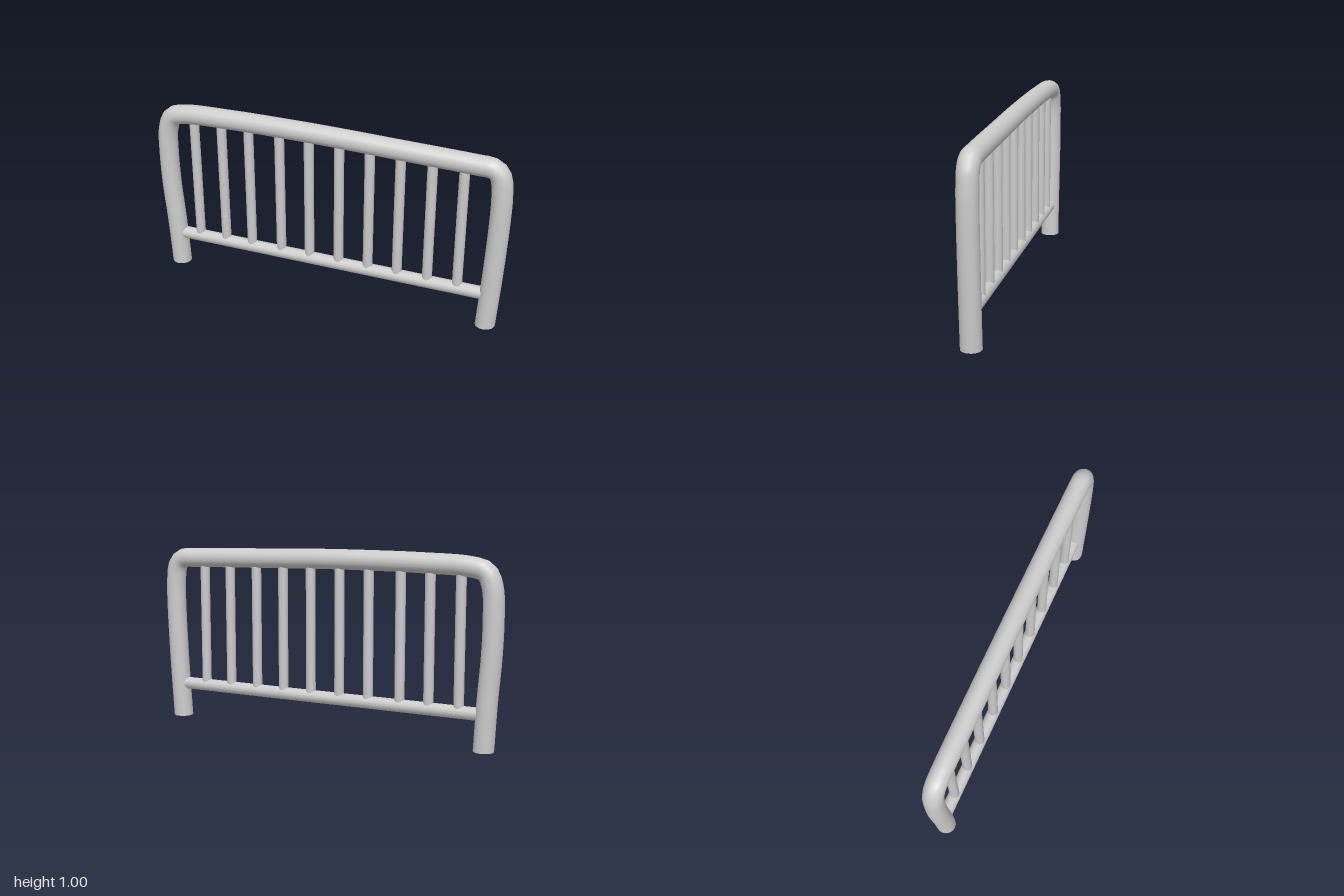
import * as THREE from 'three';

export function createModel() {
  const group = new THREE.Group();
  const mat = new THREE.MeshStandardMaterial({ color: 0xcccccc, side: THREE.DoubleSide });
  const add = (geo, name, x = 0, y = 0, z = 0) => {
    const mesh = new THREE.Mesh(geo, mat);
    mesh.name = name;
    mesh.position.set(x, y, z);
    group.add(mesh);
    return mesh;
  };

  // Bent frame: both legs and the gently sloping top rail in one tube
  const path = new THREE.CatmullRomCurve3([
    [-0.912, -0.01], [-0.925, 0.25], [-0.943, 0.5], [-0.947, 0.7], [-0.938, 0.84],
    [-0.905, 0.913], [-0.83, 0.936], [-0.55, 0.947], [-0.3, 0.948], [0, 0.945],
    [0.4, 0.934], [0.8, 0.922], [0.895, 0.915], [0.93, 0.88], [0.945, 0.78],
    [0.946, 0.65], [0.935, 0.35], [0.914, -0.01],
  ].map(([x, y]) => new THREE.Vector3(x, y, 0)), false, 'centripetal');
  const frame = new THREE.TubeGeometry(path, 120, 0.054, 20, false);
  const pos = frame.attributes.position;
  for (let i = 0; i < pos.count; i++) pos.setY(i, Math.max(0, pos.getY(i))); // level feet
  add(frame, 'frame');

  // Closed feet
  for (const x of [-0.912, 0.914]) {
    add(new THREE.CircleGeometry(0.054, 20).rotateX(Math.PI / 2), 'footCap', x);
  }

  // Lower cross bar
  add(new THREE.CylinderGeometry(0.035, 0.035, 1.8, 12).rotateZ(Math.PI / 2), 'lowerBar', 0, 0.19);

  // Upright bars, each ending inside the top rail
  const xs = [-0.775, -0.61, -0.448, -0.267, -0.097, 0.075, 0.245, 0.412, 0.582, 0.748];
  for (const x of xs) {
    const top = 0.945 - 0.028 * Math.max(0, x);
    add(new THREE.CylinderGeometry(0.027, 0.027, top - 0.19, 10), 'uprightBar', x, (top + 0.19) / 2);
  }
  return group;
}
